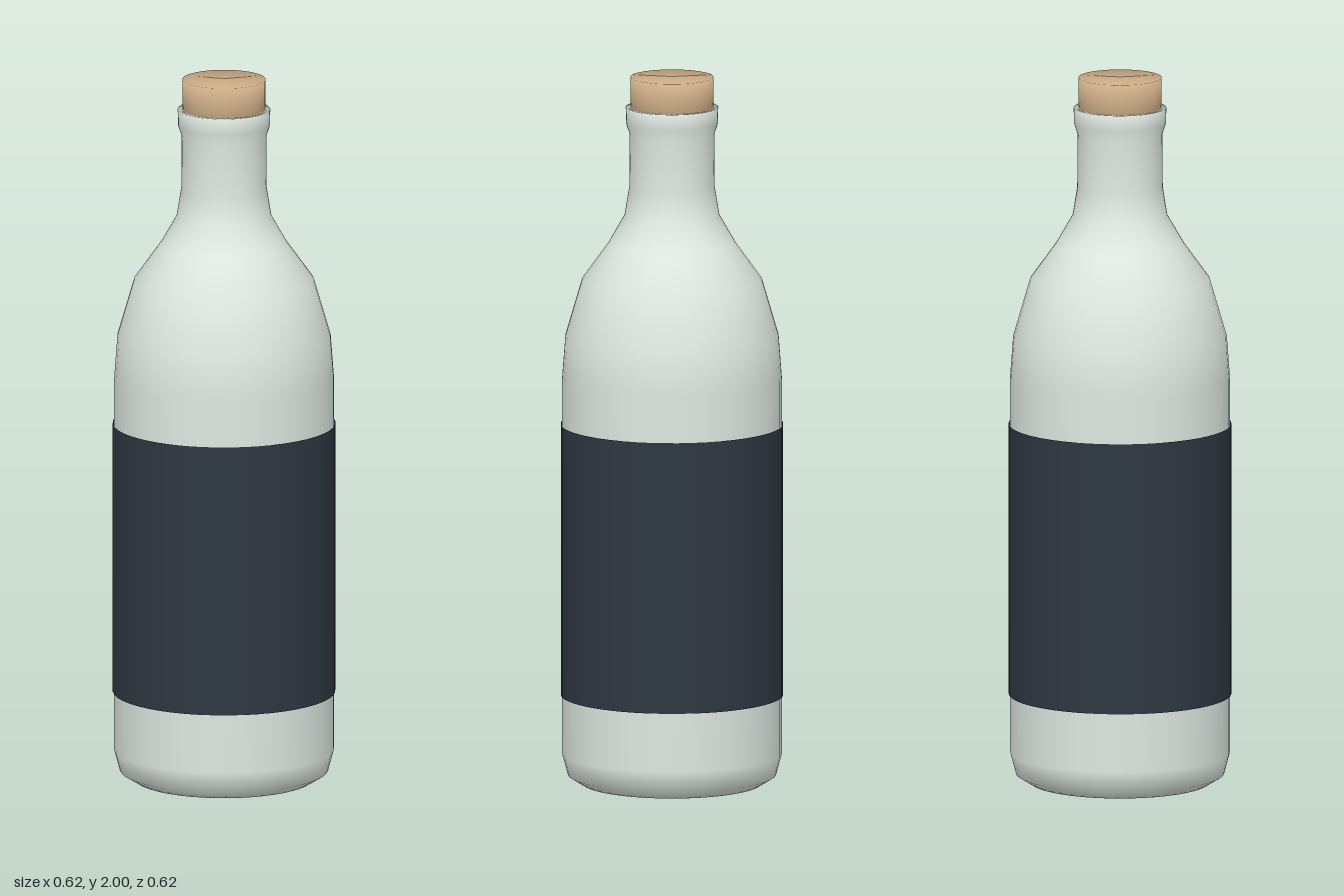
import * as THREE from 'three';

const SEGMENTS = 48;

// Smooth turned part from [radius, height] pairs, listed bottom to top
function turned(name, profile, color) {
  const points = profile.map(([r, y]) => new THREE.Vector2(r, y));
  const material = new THREE.MeshStandardMaterial({ color, side: THREE.DoubleSide });
  const mesh = new THREE.Mesh(new THREE.LatheGeometry(points, SEGMENTS), material);
  mesh.name = name;
  return mesh;
}

export function createModel() {
  const group = new THREE.Group();
  group.name = 'bottle';

  // Glass: flat base, straight body, sloping shoulder, neck and flared lip
  group.add(turned('glassBody', [
    [0, 0.005], [0.25, 0.005], [0.29, 0.03], [0.306, 0.09], [0.306, 1.15],
    [0.297, 1.27], [0.25, 1.43], [0.178, 1.53], [0.132, 1.61], [0.119, 1.69],
    [0.118, 1.84], [0.128, 1.87], [0.129, 1.915], [0.114, 1.915], [0.11, 1.86],
  ], 0xdfe8e1));

  // Label wrapped around the body
  group.add(turned('label', [[0.31, 0.255], [0.31, 1.02]], 0x2e3742));

  // Cork stopper
  group.add(turned('cork', [
    [0, 1.84], [0.108, 1.84], [0.116, 1.93], [0.116, 2], [0, 2],
  ], 0xc9aa84));

  return group;
}
